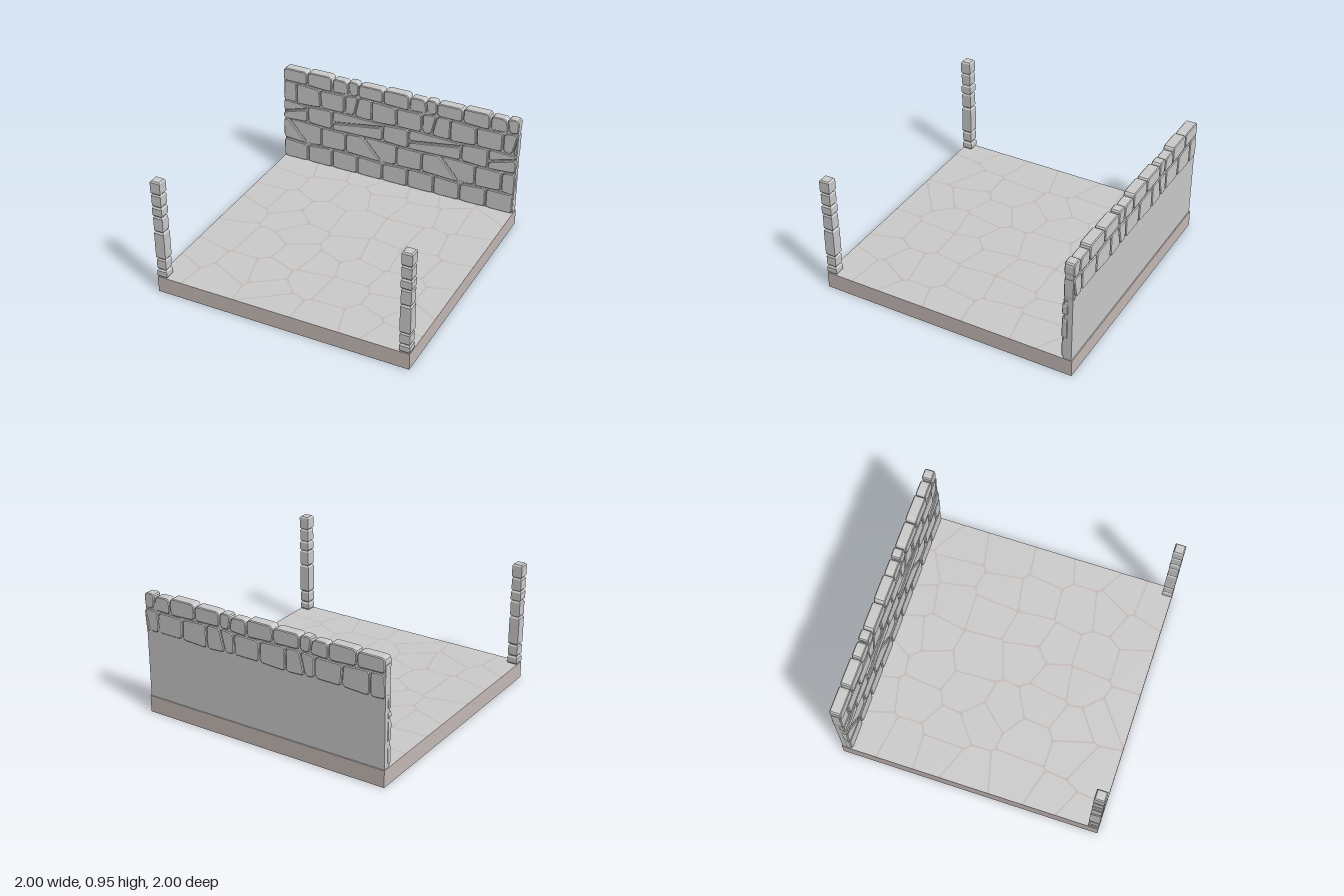
import * as THREE from 'three';

const grey = new THREE.MeshStandardMaterial({ color: 0xcccccc, flatShading: true });
const earth = new THREE.MeshStandardMaterial({ color: 0xc6bbb7, flatShading: true });
const TILE = 2 / 3; // the wall pattern repeats three times
const FLOOR = 0.13;

let seed = 7;
const rand = () => (seed = (seed * 16807) % 2147483647) / 2147483647;

function add(parent, name, geometry, material = grey) {
  const mesh = new THREE.Mesh(geometry, material);
  mesh.name = name;
  parent.add(mesh);
  return mesh;
}

function box(parent, name, [x0, x1], [y0, y1], [z0, z1], material) {
  const mesh = add(parent, name, new THREE.BoxGeometry(x1 - x0, y1 - y0, z1 - z0), material);
  mesh.position.set((x0 + x1) / 2, (y0 + y1) / 2, (z0 + z1) / 2);
}

// Polygon with rounded corners
function roundedShape(points, radius) {
  const shape = new THREE.Shape();
  const n = points.length;
  points.forEach((p, i) => {
    const toward = (q) => p.clone().lerp(q, Math.min(0.4, radius / p.distanceTo(q)));
    const a = toward(points[(i + n - 1) % n]);
    const b = toward(points[(i + 1) % n]);
    if (i === 0) shape.moveTo(a.x, a.y);
    else shape.lineTo(a.x, a.y);
    shape.quadraticCurveTo(p.x, p.y, b.x, b.y);
  });
  shape.closePath();
  return shape;
}

// One wall stone from four corners, bevelled on both faces
function stone(parent, corners, back, front) {
  const bevel = 0.006;
  const points = corners
    .map(([x, y]) => new THREE.Vector2(THREE.MathUtils.clamp(x, -1, 1), y))
    .filter((p, i, all) => i === 0 || p.distanceTo(all[i - 1]) > 0.004);
  const xs = points.map((p) => p.x);
  if (points.length < 3 || Math.max(...xs) - Math.min(...xs) < 0.03) return;
  const geometry = new THREE.ExtrudeGeometry(roundedShape(points, 0.03), {
    depth: front - back - 2 * bevel, curveSegments: 3,
    bevelThickness: bevel, bevelSize: bevel, bevelOffset: -bevel, bevelSegments: 1,
  });
  add(parent, 'wallStone', geometry).position.z = back + bevel;
}

function buildWall() {
  const wall = new THREE.Group();
  wall.name = 'backWall';
  box(wall, 'wallCore', [-0.996, 0.996], [FLOOR, 0.89], [-0.993, -0.932]);

  // Joints as [bottom x, top x]; tops give the cap stone heights
  const rows = [
    { y: [0.13, 0.3], joints: [[-0.78, -0.78], [-0.56, -0.56], [-0.335, -0.335]] },
    { y: [0.3, 0.488], joints: [[-0.79, -0.96], [-0.66, -0.66], [-0.44, -0.44]] },
    { y: [0.488, 0.65], joints: [[-0.78, -0.78], [-0.56, -0.56]], split: 1 },
    { y: [0.65, 0.825], joints: [[-0.88, -0.88], [-0.66, -0.67], [-0.45, -0.45], [-0.37, -0.33]], through: true },
    { y: [0.825, 0.94], joints: [[-0.78, -0.78], [-0.56, -0.56], [-0.41, -0.43], [-0.33, -0.33]],
      through: true, tops: [0.95, 0.937, 0.946, 0.943] },
  ];
  const wave = (x, y) => y + (y > 0.2 && y < 0.9 ? 0.008 * Math.sin((x / TILE) * 2 * Math.PI + y * 20) : 0);

  for (const { y: [low, high], joints, split, through, tops } of rows) {
    const back = through ? -1 : -0.96;
    for (let tile = -1; tile <= 2; tile++) {
      joints.forEach((left, i) => {
        const wrap = i === joints.length - 1;
        const right = wrap ? joints[0].map((x) => x + TILE) : joints[i + 1];
        const [lb, lt, rb, rt] = [...left, ...right].map((x) => x + tile * TILE);
        const gap = 0.004;
        const top = tops ? tops[i] : high;
        const bl = [lb + gap, wave(lb, low) + gap];
        const br = [rb - gap, wave(rb, low) + gap];
        const tr = [rt - gap, tops ? top : wave(rt, top) - gap];
        const tl = [lt + gap, tops ? top : wave(lt, top) - gap];
        if (split === i) {
          // Long stone broken by a slanting crack
          const a = [lb + gap, low + 0.06];
          const b = [rb - gap, high - 0.035];
          stone(wall, [bl, br, [b[0], b[1] - gap], [a[0], a[1] - gap]], back, -0.915);
          stone(wall, [[a[0], a[1] + gap], [b[0], b[1] + gap], tr, tl], back, -0.922);
        } else {
          const narrow = rb - lb < 0.17;
          stone(wall, [bl, br, tr, tl], back, narrow ? -0.925 : -0.915);
        }
      });
    }
  }
  return wall;
}

// Square pillar of stacked stones with grooves between them
function buildPost(name, x) {
  const levels = [0.13, 0.195, 0.29, 0.52, 0.65, 0.73, 0.835, 0.943];
  const profile = [new THREE.Vector2(0, levels[0])];
  const point = (half, y) => profile.push(new THREE.Vector2(half * Math.SQRT2, y));
  for (let i = 0; i < levels.length - 1; i++) {
    const half = i % 2 ? 0.038 : 0.04;
    point(half - 0.008, levels[i] + 0.001);
    point(half, levels[i] + 0.012);
    point(half, levels[i + 1] - 0.012);
    point(half - 0.008, levels[i + 1] - 0.001);
  }
  profile.push(new THREE.Vector2(0, levels.at(-1)));
  const geometry = new THREE.LatheGeometry(profile, 4);
  geometry.rotateY(Math.PI / 4);
  const post = new THREE.Mesh(geometry, grey);
  post.name = name;
  post.position.set(x, 0, 0.96);
  return post;
}

// Keep the side of a polygon where dot(p, normal) <= limit
function clip(polygon, normal, limit) {
  const out = [];
  polygon.forEach((p, i) => {
    const q = polygon[(i + 1) % polygon.length];
    const dp = p.dot(normal) - limit;
    const dq = q.dot(normal) - limit;
    if (dp <= 0) out.push(p);
    if (dp * dq < 0) out.push(p.clone().lerp(q, dp / (dp - dq)));
  });
  return out;
}

// Irregular paving, one cell around each scattered centre
function buildPaving() {
  const paving = new THREE.Group();
  paving.name = 'paving';
  const centres = [];
  const count = 7;
  for (let i = 0; i < count; i++) {
    for (let j = 0; j < count; j++) {
      const at = (k) => ((k + 0.5 + (rand() - 0.5) * 0.75) / count) * 2 - 1;
      centres.push(new THREE.Vector2(at(i), at(j)));
    }
  }
  for (const c of centres) {
    let cell = [[-1, -1], [1, -1], [1, 1], [-1, 1]].map(([x, y]) => new THREE.Vector2(x, y));
    for (const other of centres) {
      if (other === c) continue;
      const normal = other.clone().sub(c).normalize();
      const middle = c.clone().add(other).multiplyScalar(0.5);
      cell = clip(cell, normal, middle.dot(normal) - 0.006);
    }
    const geometry = new THREE.ShapeGeometry(roundedShape(cell, 0.025), 3);
    geometry.rotateX(-Math.PI / 2);
    add(paving, 'pavingStone', geometry).position.y = FLOOR + 0.001;
  }
  return paving;
}

export function createModel() {
  const model = new THREE.Group();
  model.name = 'walledPlatform';
  box(model, 'platform', [-1, 1], [0, FLOOR], [-1, 1], earth);
  model.add(buildPaving(), buildWall());
  model.add(buildPost('leftPost', 0.96), buildPost('rightPost', -0.96));
  return model;
}
